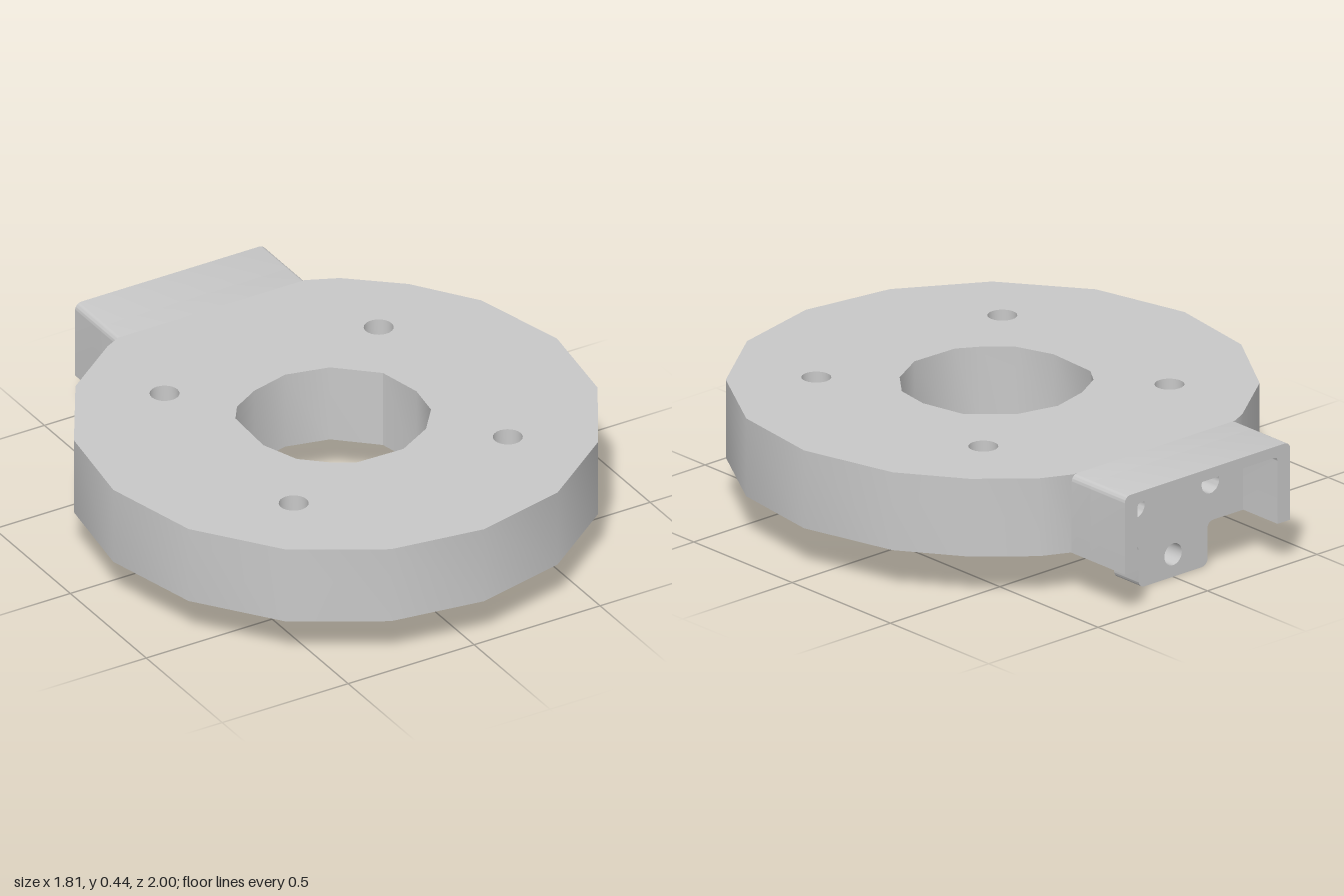
import * as THREE from 'three';
import { toCreasedNormals, mergeGeometries } from 'three/addons/utils/BufferGeometryUtils.js';

const BOTTOM = 0.16, TOP = 0.445, SEAT = 0.34;   // disc underside, top, counterbore floor
const REAR = -1, PLATE = -0.825, ROOT = -0.73;   // socket mouth, mounting plate, disc chord

// Outlines are given as [x, z] pairs; shapes use y = -z so they can be laid flat.
const flat = (pts) => pts.map(([x, z]) => new THREE.Vector2(x, -z));
const circle = (cx, cy, r, n = 24) => Array.from({ length: n }, (_, i) => {
  const a = (i / n) * Math.PI * 2;
  return new THREE.Vector2(cx + r * Math.cos(a), cy + r * Math.sin(a));
});
function shapeOf(points, holes = []) {
  const shape = new THREE.Shape(points);
  shape.holes = holes.map((h) => new THREE.Path(h));
  return shape;
}

// Vertical walls of a flat shape, without caps; flip turns them inward.
function walls(shape, y0, y1, flip = false) {
  const full = new THREE.ExtrudeGeometry(shape, { depth: y1 - y0, bevelEnabled: false });
  const { start, count } = full.groups[1];
  const g = new THREE.BufferGeometry();
  for (const name of ['position', 'normal', 'uv']) {
    const { array, itemSize } = full.attributes[name];
    g.setAttribute(name, new THREE.BufferAttribute(
      array.slice(start * itemSize, (start + count) * itemSize), itemSize));
  }
  g.rotateX(-Math.PI / 2);
  if (flip) g.scale(1, -1, 1).translate(0, y1, 0);
  else g.translate(0, y0, 0);
  return g;
}

// Horizontal face of a flat shape, facing up or down.
function cap(shape, y, up) {
  const g = new THREE.ShapeGeometry(shape);
  if (!up) g.index.array.reverse();
  return g.toNonIndexed().rotateX(-Math.PI / 2).translate(0, y, 0);
}

// Front-facing profile extruded between two z positions.
const along = (shape, z0, z1) => new THREE.ExtrudeGeometry(shape, {
  depth: z1 - z0, bevelEnabled: false, curveSegments: 6 }).translate(0, 0, z0);

export function createModel() {
  const model = new THREE.Group();
  model.name = 'mountingDisc';
  const grey = new THREE.MeshStandardMaterial({ color: 0xc8c8c8 });
  grey.name = 'grey';
  const add = (name, geometry) => {
    const mesh = new THREE.Mesh(toCreasedNormals(geometry, 0.6), grey);
    mesh.name = name;
    model.add(mesh);
  };

  // Faceted disc with a faceted bore and four counterbored bolt holes
  const outline = flat([
    [-0.37, ROOT], [-0.43, -0.70], [-0.66, -0.53], [-0.85, -0.225], [-0.905, 0.125],
    [-0.82, 0.48], [-0.605, 0.77], [-0.30, 0.95], [0.04, 1], [0.38, 0.92],
    [0.67, 0.705], [0.855, 0.395], [0.905, 0.045], [0.815, -0.305], [0.66, -0.525],
    [0.48, -0.68], [0.37, ROOT]]);
  const bore = flat([
    [-0.01, -0.227], [0.145, -0.19], [0.28, -0.065], [0.315, 0.097], [0.295, 0.227],
    [0.215, 0.327], [0.08, 0.402], [-0.10, 0.397], [-0.18, 0.35], [-0.265, 0.272],
    [-0.315, 0.135], [-0.305, -0.065], [-0.26, -0.13], [-0.155, -0.19]]);
  const bolts = [];
  for (const x of [-0.425, 0.425]) for (const z of [-0.333, 0.517]) bolts.push([x, -z]);
  const small = bolts.map(([x, y]) => circle(x, y, 0.051));
  const large = bolts.map(([x, y]) => circle(x, y, 0.093));

  add('disc', mergeGeometries([
    walls(shapeOf(outline, [bore]), BOTTOM, TOP),
    cap(shapeOf(outline, [bore, ...small]), TOP, true),
    cap(shapeOf(outline, [bore, ...large]), BOTTOM, false)]));
  add('boltHoles', mergeGeometries(bolts.flatMap((_, i) => [
    walls(shapeOf(large[i]), BOTTOM, SEAT, true),
    walls(shapeOf(small[i]), SEAT, TOP, true),
    cap(shapeOf(large[i], [small[i]]), SEAT, false)])));

  // Mounting plate with rounded upper corners and two blind screw holes
  const w = 0.378, r = 0.025;
  const roundTop = (shape) => {
    shape.lineTo(w, BOTTOM);
    shape.absarc(w - r, TOP - r, r, 0, Math.PI / 2);
    shape.absarc(-w + r, TOP - r, r, Math.PI / 2, Math.PI);
    shape.lineTo(-w, BOTTOM);
  };
  const plate = new THREE.Shape().moveTo(0, BOTTOM);
  roundTop(plate);
  plate.closePath();
  for (const x of [-0.17, 0.17]) plate.holes.push(new THREE.Path(circle(x, 0.30, 0.04)));
  add('mountingPlate', along(plate, PLATE, ROOT));

  // Socket walls, open to the rear and below
  const i = 0.32, roof = 0.405, q = 0.015;
  const hood = new THREE.Shape().moveTo(i, BOTTOM);
  roundTop(hood);
  hood.lineTo(-i, BOTTOM);
  hood.absarc(-i + q, roof - q, q, Math.PI, Math.PI / 2, true);
  hood.absarc(i - q, roof - q, q, Math.PI / 2, 0, true);
  hood.closePath();
  add('socketWalls', along(hood, REAR, PLATE));

  // Hanging tab with rounded lower corners, flared roots and a through hole
  const t = 0.157, f = 0.025;
  const tab = new THREE.Shape().moveTo(-t + f, 0);
  tab.absarc(t - f, f, f, -Math.PI / 2, 0);
  tab.absarc(t + f, BOTTOM - f, f, Math.PI, Math.PI / 2, true);
  tab.absarc(-t - f, BOTTOM - f, f, Math.PI / 2, 0, true);
  tab.absarc(-t + f, f, f, Math.PI, Math.PI * 1.5);
  tab.holes.push(new THREE.Path(circle(0, 0.082, 0.04)));
  add('tab', along(tab, PLATE, -0.70));

  return model;
}
